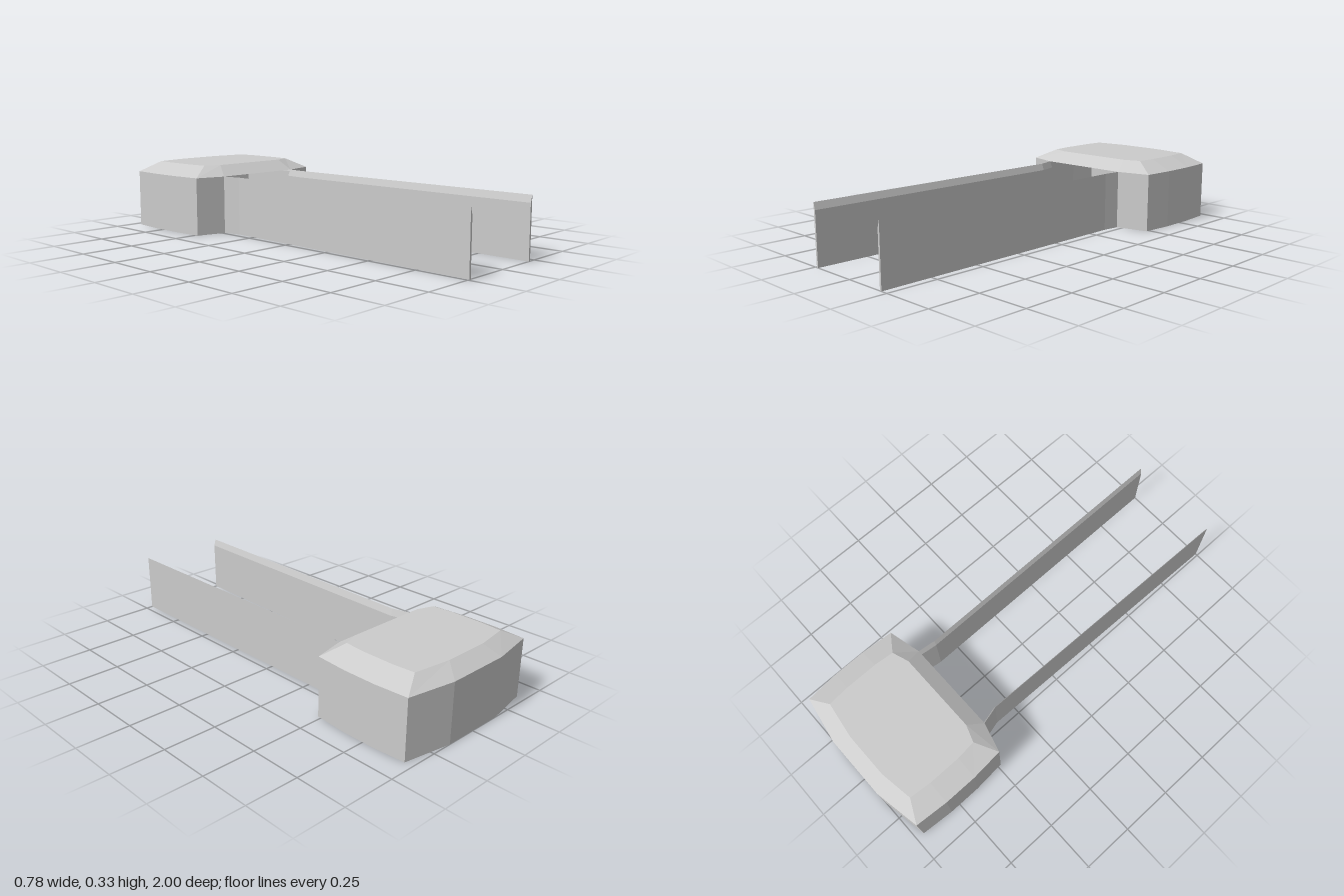
import * as THREE from 'three';

const EAVE = 0.283, BEVEL = 0.25, TOP = 0.333, THICK = 0.01;

// Plan outline [x, z] of the house, from the front left jamb round the back to the front right jamb
const house = [
  [-0.238, -0.445], [-0.38, -0.483], [-0.392, -0.64], [-0.392, -0.8], [-0.38, -0.96],
  [-0.16, -1], [0.15, -1],
  [0.38, -0.96], [0.392, -0.8], [0.392, -0.64], [0.38, -0.483], [0.222, -0.445],
];
// Matching outline of the flat roof top
const ridge = [
  [-0.2, -0.517], [-0.28, -0.545], [-0.289, -0.64], [-0.289, -0.8], [-0.28, -0.905],
  [-0.12, -0.93], [0.1, -0.93],
  [0.28, -0.905], [0.289, -0.8], [0.289, -0.64], [0.28, -0.545], [0.2, -0.517],
];

function meshFrom(name, positions, index) {
  let geometry = new THREE.BufferGeometry();
  geometry.setAttribute('position', new THREE.Float32BufferAttribute(positions, 3));
  geometry.setIndex(index);
  geometry = geometry.toNonIndexed();
  geometry.computeVertexNormals();
  const mesh = new THREE.Mesh(geometry, new THREE.MeshStandardMaterial({
    color: 0xcccccc, flatShading: true, side: THREE.DoubleSide,
  }));
  mesh.name = name;
  return mesh;
}

// Offset an open path to its inner side with mitred corners
function inset(path, distance) {
  const normal = (a, b) => new THREE.Vector2(-(b[1] - a[1]), b[0] - a[0]).normalize();
  return path.map((p, i) => {
    const before = normal(path[Math.max(i - 1, 0)], path[Math.max(i, 1)]);
    const last = path.length - 1;
    const after = normal(path[Math.min(i, last - 1)], path[Math.min(i + 1, last)]);
    const m = before.clone().add(after).normalize();
    const d = distance / Math.max(m.dot(before), 0.4);
    return [p[0] + m.x * d, p[1] + m.y * d];
  });
}

// Thin wall whose inner face slopes out to a sharp top edge
function wall(name, path) {
  const inner = inset(path, THICK);
  const positions = [], index = [];
  path.forEach(([x, z], i) => {
    const [u, w] = inner[i];
    positions.push(x, 0, z, x, EAVE, z, u, BEVEL, w, u, 0, w);
    if (i === 0) return;
    for (let k = 0; k < 4; k++) {
      const a = (i - 1) * 4 + k, b = (i - 1) * 4 + (k + 1) % 4;
      index.push(a, b, a + 4, b, b + 4, a + 4);
    }
  });
  const e = (path.length - 1) * 4;
  index.push(0, 2, 1, 0, 3, 2, e, e + 1, e + 2, e, e + 2, e + 3);
  return meshFrom(name, positions, index);
}

// Hipped roof: sloping ring from eaves to a flat top
function roof() {
  const n = house.length, positions = [], index = [];
  house.forEach(([x, z]) => positions.push(x, EAVE, z));
  ridge.forEach(([x, z]) => positions.push(x, TOP, z));
  for (let i = 0; i < n; i++) {
    const j = (i + 1) % n;
    index.push(i, n + i, j, j, n + i, n + j);
    if (i > 0 && i < n - 1) index.push(n, n + i + 1, n + i);
  }
  return meshFrom('roof', positions, index);
}

export function createModel() {
  const group = new THREE.Group();
  group.name = 'walledEntrance';
  // One continuous wall: left wing, house, right wing
  const path = [[-0.24, 1], [-0.216, -0.36], ...house, [0.212, -0.36], [0.216, 1]];
  group.add(wall('walls', path), roof());
  return group;
}
